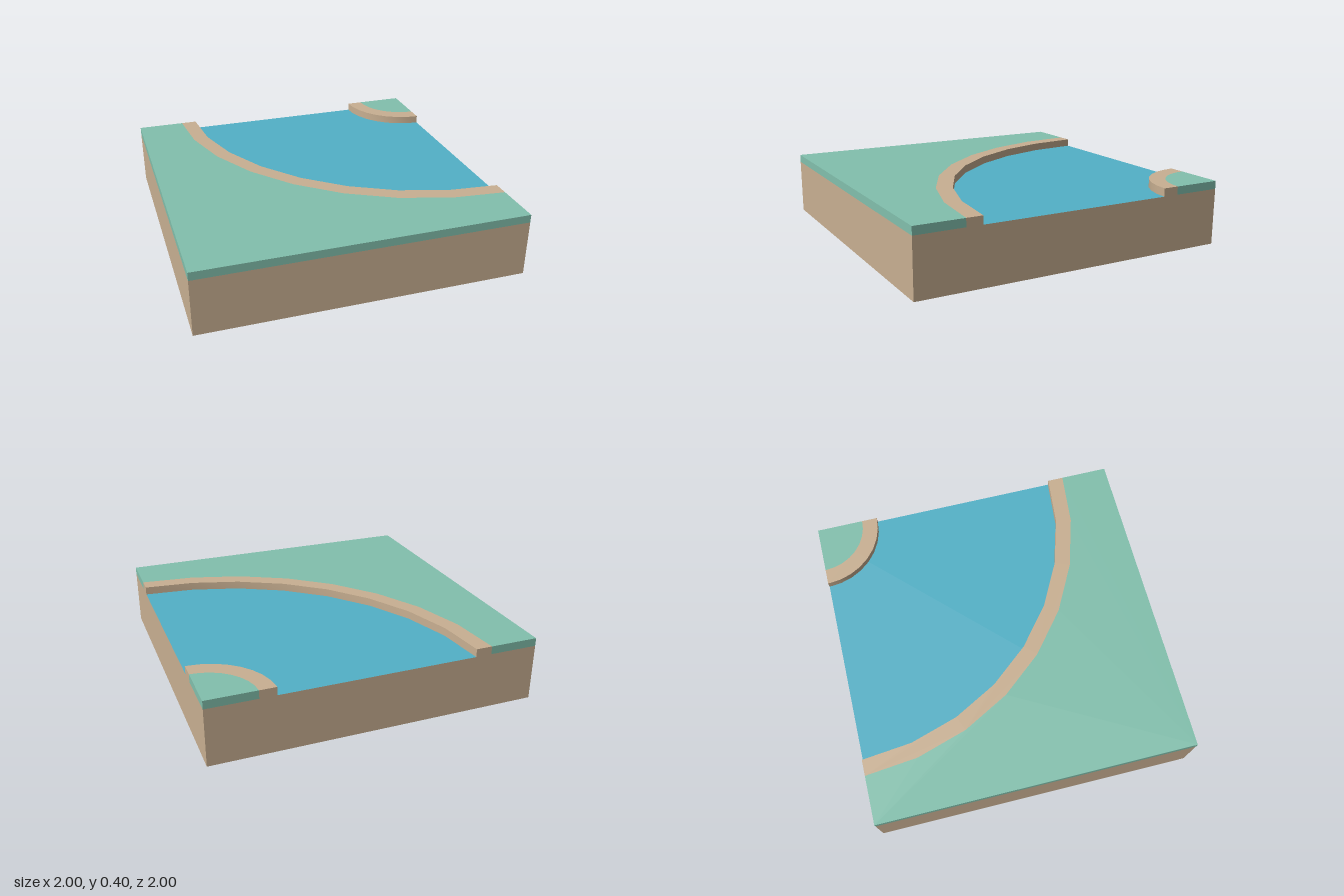
import * as THREE from 'three';
import { toCreasedNormals } from 'three/addons/utils/BufferGeometryUtils.js';

const BASE = 0.35; // water level
const RISE = 0.05; // height of the banks above the water

function material(name, color) {
  const m = new THREE.MeshStandardMaterial({ color });
  m.name = name;
  return m;
}

// quarter arc around the back left corner (shape y is -z)
function arc(radius) {
  return Array.from({ length: 9 }, (_, i) => {
    const a = (i / 8) * Math.PI / 2;
    return new THREE.Vector2(1 - radius * Math.cos(a), 1 - radius * Math.sin(a));
  });
}

// flat slab resting at water level, with smoothly curved bank walls
function slab(name, points, mat) {
  const geo = new THREE.ExtrudeGeometry(new THREE.Shape(points), { depth: RISE, bevelEnabled: false });
  geo.rotateX(-Math.PI / 2);
  geo.translate(0, BASE, 0);
  const mesh = new THREE.Mesh(toCreasedNormals(geo, 0.5), mat);
  mesh.name = name;
  return mesh;
}

export function createModel() {
  const group = new THREE.Group();
  group.name = 'riverBendTile';
  const sand = material('sand', 0xc9b092);
  const grass = material('grass', 0x82c0ad);
  const water = material('water', 0x52b1c7);

  // earth block whose top face is the water
  const base = new THREE.Mesh(new THREE.BoxGeometry(2, BASE, 2), [sand, sand, water, sand, sand, sand]);
  base.position.y = BASE / 2;
  base.name = 'earthAndWater';
  group.add(base);

  const corner = (x, y) => new THREE.Vector2(x, y);

  // outer bank of the bend
  group.add(slab('outerSandBank', [...arc(1.7), ...arc(1.6).reverse()], sand));
  group.add(slab('outerGrass', [...arc(1.7), corner(1, -1), corner(-1, -1), corner(-1, 1)], grass));

  // inner bank in the corner
  group.add(slab('innerSandBank', [...arc(0.4), ...arc(0.3).reverse()], sand));
  group.add(slab('innerGrass', [...arc(0.3), corner(1, 1)], grass));

  return group;
}
